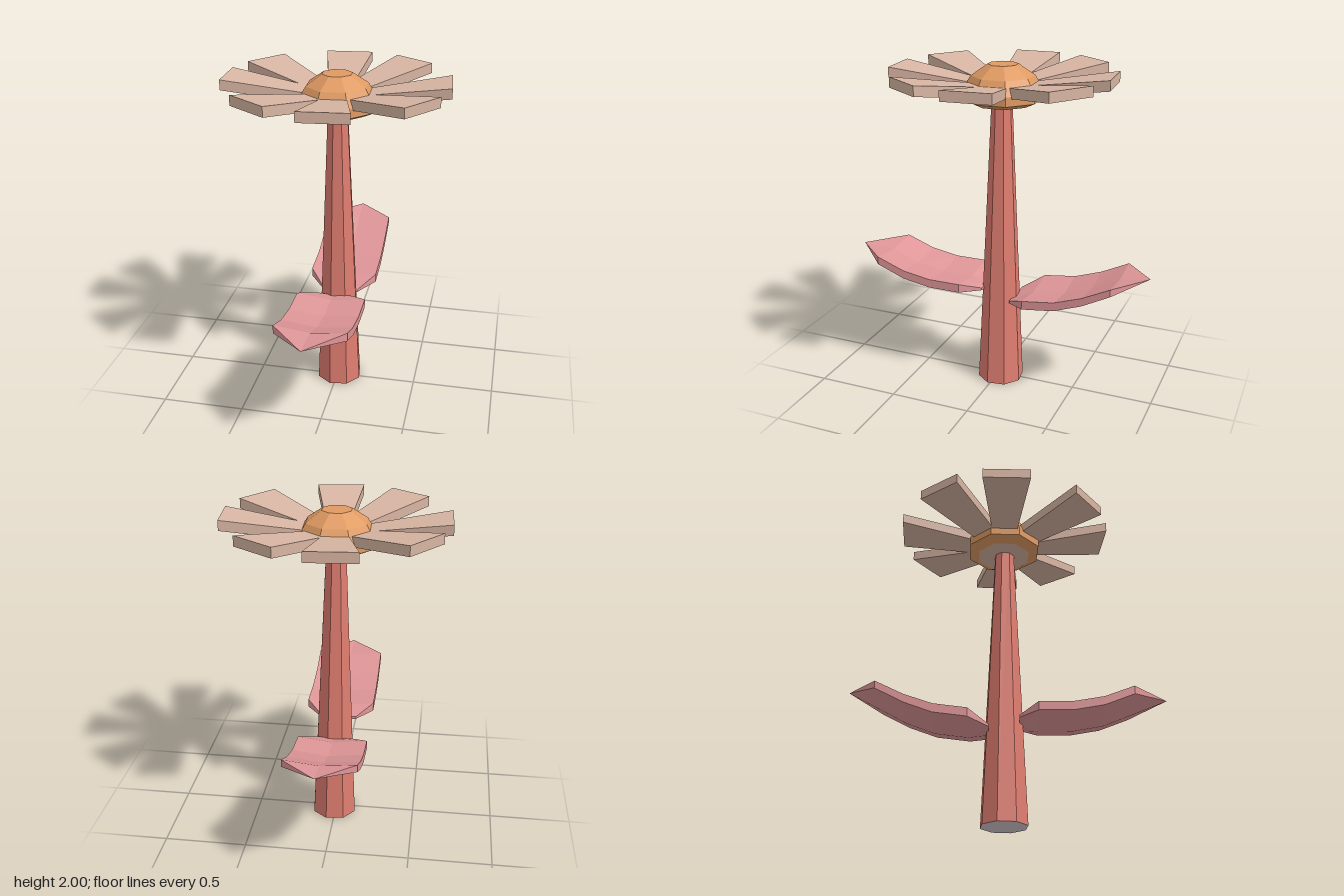
import * as THREE from 'three';

const rad = THREE.MathUtils.degToRad;
const lerp = THREE.MathUtils.lerp;

function material(name, color) {
  const m = new THREE.MeshStandardMaterial({ color });
  m.name = name;
  m.flatShading = true;
  return m;
}

function add(parent, name, geometry, mat) {
  const mesh = new THREE.Mesh(geometry, mat);
  mesh.name = name;
  parent.add(mesh);
  return mesh;
}

// Leaf lofted along +z from sections [z, rim height, half width, depth]:
// dished top, upright rims and a keel below.
function leafGeometry(sections) {
  const rings = sections.map(([z, top, h, d]) => [
    [-h, top, z], [0, top - 0.25 * d, z], [h, top, z],
    [h, top - 0.5 * d, z], [0, top - d, z], [-h, top - 0.5 * d, z],
  ]);
  const n = 6;
  const positions = [];
  const tri = (...corners) => corners.forEach((p) => positions.push(...p));
  for (let i = 0; i < rings.length - 1; i++) {
    for (let j = 0; j < n; j++) {
      const k = (j + 1) % n;
      const [a, b, c, d] = [rings[i][j], rings[i][k], rings[i + 1][k], rings[i + 1][j]];
      if (i < rings.length - 2) tri(a, d, c);
      tri(a, c, b);
    }
  }
  // inner end cap, fanned from its dished middle point
  for (let j = 2; j < n; j++) tri(rings[0][1], rings[0][j], rings[0][(j + 1) % n]);
  const g = new THREE.BufferGeometry();
  g.setAttribute('position', new THREE.Float32BufferAttribute(positions, 3));
  g.computeVertexNormals();
  return g;
}

// Wedge-shaped slab that widens and rises outwards along +x
function petalGeometry() {
  const g = new THREE.BoxGeometry(1, 0.06, 1);
  const p = g.attributes.position;
  for (let i = 0; i < p.count; i++) {
    const u = p.getX(i) + 0.5;
    p.setXYZ(i,
      lerp(0.13, 0.65, u),
      p.getY(i) + lerp(1.861, 1.94, u),
      p.getZ(i) * 2 * lerp(0.068, 0.143, u));
  }
  g.computeVertexNormals();
  return g;
}

export function createModel() {
  const model = new THREE.Group();
  model.name = 'flower';

  const stemRed = material('stemRed', 0xdf7d70);
  const leafPink = material('leafPink', 0xdf9698);
  const petalBeige = material('petalBeige', 0xd8b5a3);
  const centreOrange = material('centreOrange', 0xdf9a62);
  const cutGrey = material('cutGrey', 0xd6cbd0);

  // Tapered eight-sided stem, leaning slightly
  const height = 1.78;
  const stem = new THREE.CylinderGeometry(0.062, 0.142, height, 8, 1, false, rad(30));
  const sp = stem.attributes.position;
  for (let i = 0; i < sp.count; i++) {
    sp.setX(i, sp.getX(i) - 0.012 * (sp.getY(i) / height));
  }
  stem.translate(0.004, height / 2, -0.02);
  add(model, 'stem', stem, [stemRed, stemRed, cutGrey]);

  // Flower head
  const head = new THREE.Group();
  head.name = 'flowerHead';
  head.position.set(-0.007, 0, -0.024);
  model.add(head);

  const profile = [
    [0.17, 1.77], [0.235, 1.8], [0.235, 1.855], [0.185, 1.935], [0.09, 2], [0, 2],
  ].map(([x, y]) => new THREE.Vector2(x, y));
  add(head, 'flowerCentre', new THREE.LatheGeometry(profile, 8, rad(25.5)), centreOrange);

  const base = new THREE.CircleGeometry(0.17, 8, rad(19.5));
  base.rotateX(Math.PI / 2);
  base.translate(0, 1.77, 0);
  add(head, 'flowerUnderside', base, petalBeige);

  // Unevenly spread petals
  const petal = petalGeometry();
  [-5, 35, 85, 126, 178, 216.5, 265.5, 305].forEach((angle) => {
    add(head, 'petal', petal, petalBeige).rotation.y = -rad(angle);
  });

  // Two curved leaves, the rear one attached lower and rising higher
  const frontLeaf = leafGeometry([
    [0.07, 0.63, 0.11, 0.03], [0.18, 0.675, 0.21, 0.107], [0.38, 0.675, 0.21, 0.107],
    [0.56, 0.705, 0.21, 0.105], [0.735, 0.77, 0.21, 0.1], [0.95, 0.76, 0, 0],
  ]);
  add(model, 'frontLeaf', frontLeaf, leafPink).position.x = -0.005;

  const backLeaf = leafGeometry([
    [0.11, 0.575, 0.11, 0.03], [0.23, 0.637, 0.21, 0.107], [0.43, 0.663, 0.21, 0.107],
    [0.6, 0.722, 0.21, 0.1], [0.768, 0.805, 0.21, 0.09], [0.95, 0.815, 0, 0],
  ]);
  const rear = add(model, 'backLeaf', backLeaf, leafPink);
  rear.position.x = -0.005;
  rear.rotation.y = Math.PI;

  return model;
}
